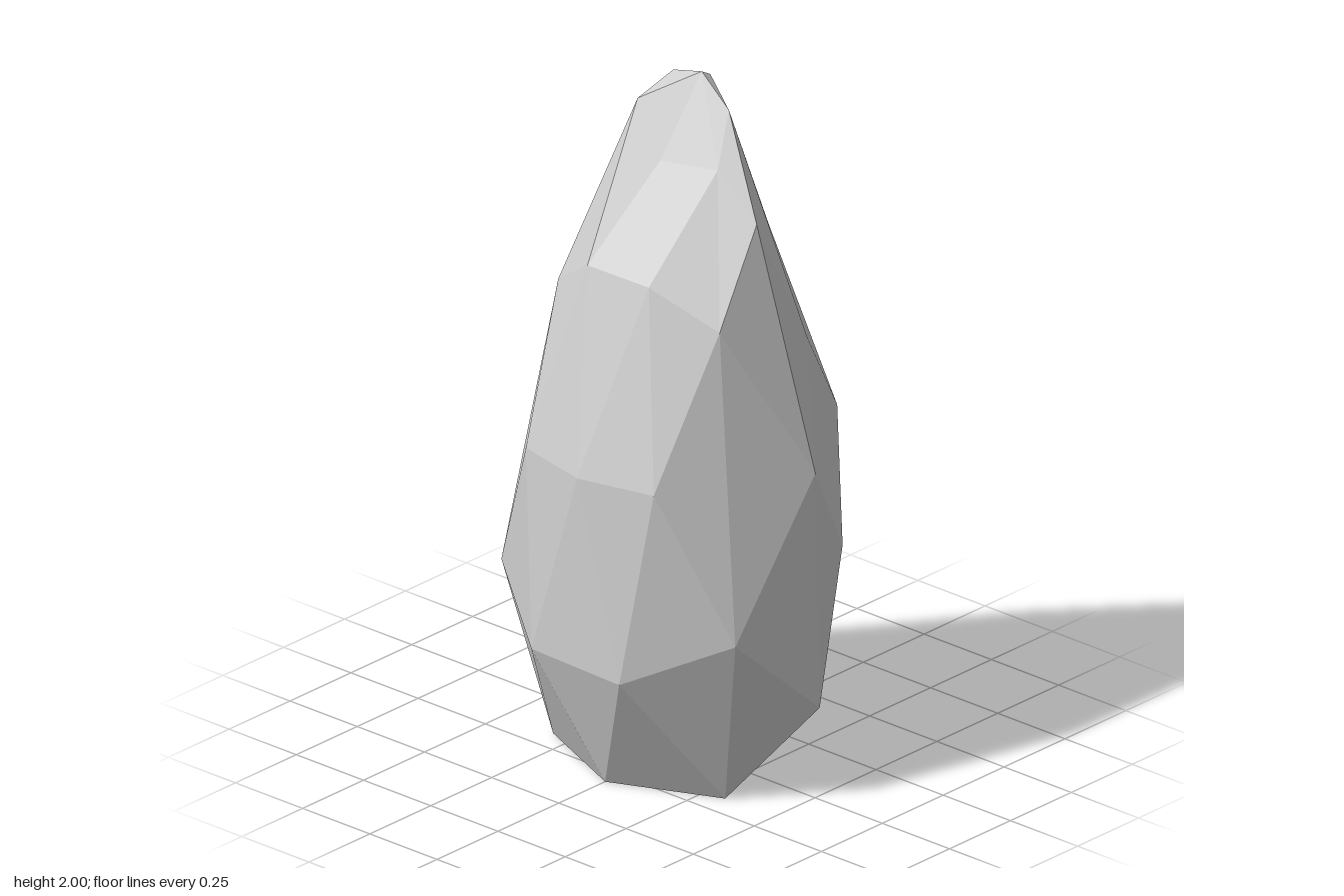
import * as THREE from 'three';

// Corner bands from the flat foot to the leaning tip, each listed from the
// front round past +x; the foot and tip end with their centre corner.
const foot = [
  [0, 0, 0.26], [0.045, 0, 0], [0.09, 0, -0.32], [-0.17, 0, -0.32],
  [-0.31, 0, 0], [-0.17, 0, 0.32], [-0.1, 0, 0],
];
const flare = [
  [0.03, 0.26, 0.49], [0.24, 0.65, 0.385], [0.21, 0.44, 0.13], [0.26, 0.43, -0.19], [0.33, 0.52, -0.44],
  [0.04, 0.26, -0.49], [-0.25, 0.52, -0.44], [-0.425, 0.39, -0.17], [-0.44, 0.39, 0.17], [-0.25, 0.52, 0.43],
];
const waist = [
  [0.04, 0.96, 0.465], [0.4, 0.97, 0.22], [0.44, 0.97, 0], [0.38, 0.96, -0.2],
  [0.04, 0.97, -0.46], [-0.37, 0.96, -0.24], [-0.425, 0.96, 0], [-0.37, 0.96, 0.235],
];
const shoulder = [
  [0.02, 1.66, 0.265], [0.21, 1.26, 0.28], [0.285, 1.51, 0.07], [0.27, 1.5, -0.08], [0.205, 1.38, -0.3],
  [0.04, 1.66, -0.28], [-0.16, 1.38, -0.31], [-0.25, 1.51, -0.12], [-0.23, 1.5, 0.09], [-0.16, 1.4, 0.29],
];
const tip = [
  [0.11, 1.92, 0.08], [0.155, 1.98, -0.03], [0.125, 1.97, -0.14], [0, 1.92, -0.16],
  [-0.04, 1.78, -0.04], [0.02, 1.78, 0.12], [0.12, 2, -0.03],
];
const bands = [foot, flare, waist, shoulder, tip];

// Band of a point on the unit sphere, by height
const bandOf = (y) => [-0.7, -0.2, 0.2, 0.7].filter((limit) => y > limit).length;

// Order within a band: angle from the front towards +x, poles last
const orderOf = (p) => (Math.abs(p.y) > 0.99 ? 10 : (Math.atan2(p.x, p.z) + 2 * Math.PI + 0.01) % (2 * Math.PI));

const keyOf = (p) => p.toArray().map((v) => Math.round(v * 100)).join();

// Faceted sphere whose corners are moved, band by band, to the rock's corners
function rockGeometry() {
  const geometry = new THREE.IcosahedronGeometry(1, 1);
  const position = geometry.attributes.position;
  const corners = new Map();
  for (let i = 0; i < position.count; i++) {
    const p = new THREE.Vector3().fromBufferAttribute(position, i);
    corners.set(keyOf(p), p);
  }
  const target = new Map();
  bands.forEach((band, b) => {
    [...corners.values()]
      .filter((p) => bandOf(p.y) === b)
      .sort((p, q) => orderOf(p) - orderOf(q))
      .forEach((p, i) => target.set(keyOf(p), band[i]));
  });
  for (let i = 0; i < position.count; i++) {
    const p = new THREE.Vector3().fromBufferAttribute(position, i);
    position.setXYZ(i, ...target.get(keyOf(p)));
  }
  geometry.computeVertexNormals();
  return geometry;
}

export function createModel() {
  const group = new THREE.Group();
  group.name = 'standingStone';

  const stone = new THREE.MeshStandardMaterial({ color: 0xcecece, flatShading: true });
  stone.name = 'pale stone';

  const body = new THREE.Mesh(rockGeometry(), stone);
  body.name = 'rockBody';
  group.add(body);
  return group;
}
